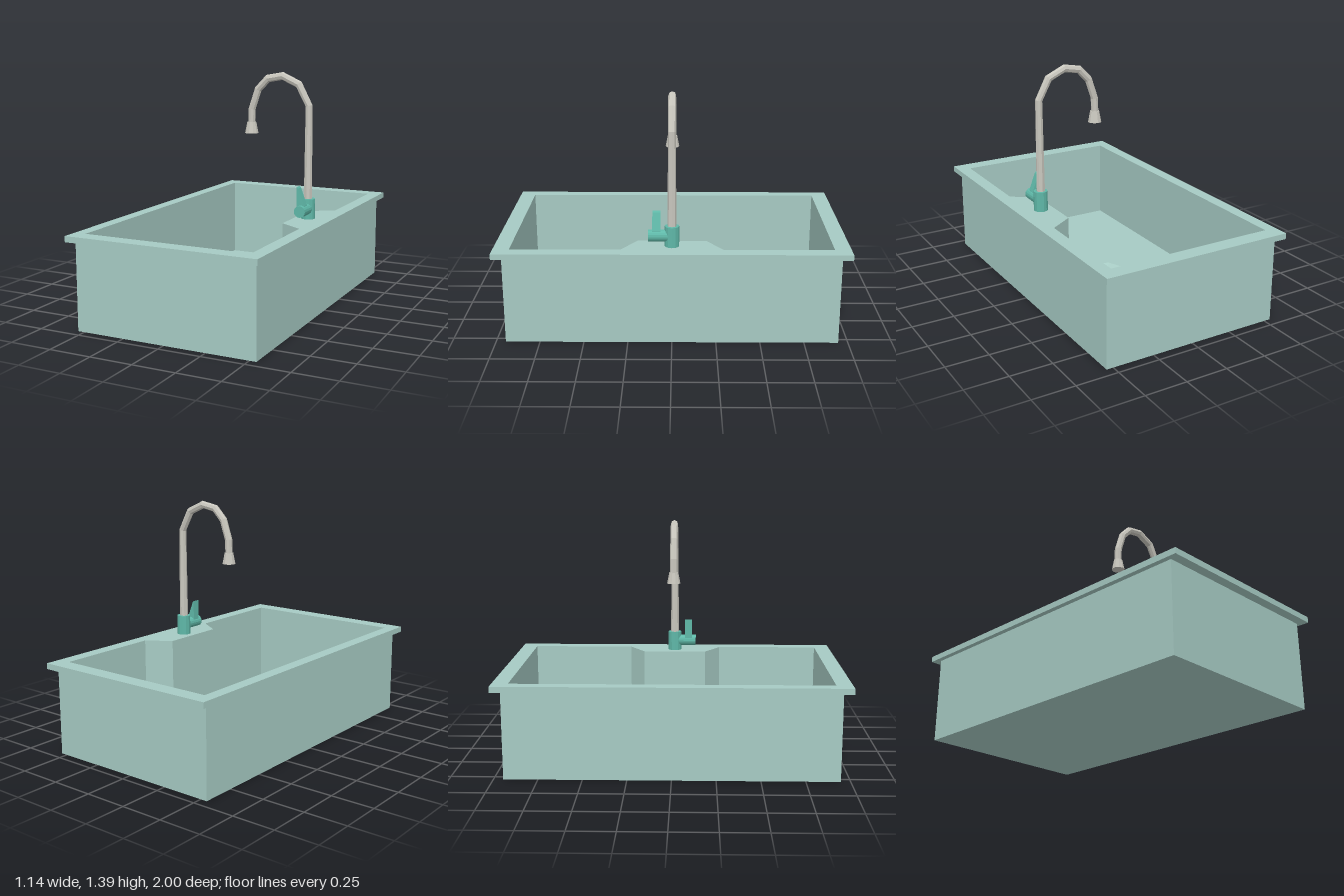
import * as THREE from 'three';

const mat = (name, color, flatShading = true) => {
  const m = new THREE.MeshStandardMaterial({ color, flatShading });
  m.name = name;
  return m;
};

function add(parent, name, geometry, material, x = 0, y = 0, z = 0) {
  const mesh = new THREE.Mesh(geometry, material);
  mesh.name = name;
  mesh.position.set(x, y, z);
  parent.add(mesh);
  return mesh;
}

const vec = (pts) => pts.map(([a, b]) => new THREE.Vector2(a, b));
const rect = (w, d) => vec([[-w, -d], [w, -d], [w, d], [-w, d]]);

// Horizontal slab with a hole, from y0 to y1
function slab(outline, hole, y0, y1) {
  const shape = new THREE.Shape(outline);
  if (hole) shape.holes.push(new THREE.Path(hole));
  const g = new THREE.ExtrudeGeometry(shape, { depth: y1 - y0, bevelEnabled: false });
  return g.rotateX(-Math.PI / 2).translate(0, y0, 0);
}

// Mitred pipe along points [x, y, radius] in the z = 0 plane
function pipe(path, sides) {
  const pos = [], index = [];
  const pts = path.map(([x, y]) => new THREE.Vector2(x, y));
  path.forEach(([x, y, r], i) => {
    const a = pts[Math.max(i - 1, 0)], b = pts[Math.min(i + 1, pts.length - 1)];
    const d1 = (i > 0 ? pts[i].clone().sub(a) : b.clone().sub(pts[i])).normalize();
    const d2 = (i < pts.length - 1 ? b.clone().sub(pts[i]) : d1.clone()).normalize();
    const t = d1.clone().add(d2).normalize();
    const miter = r / t.dot(d1);
    for (let k = 0; k < sides; k++) {
      const ang = (k / sides) * Math.PI * 2;
      const c = Math.cos(ang) * miter;
      pos.push(x + t.y * c, y - t.x * c, Math.sin(ang) * r);
    }
  });
  for (let i = 0; i < path.length - 1; i++) {
    for (let k = 0; k < sides; k++) {
      const a = i * sides + k, b = i * sides + (k + 1) % sides;
      index.push(a, a + sides, b, b, a + sides, b + sides);
    }
  }
  const g = new THREE.BufferGeometry();
  g.setAttribute('position', new THREE.Float32BufferAttribute(pos, 3));
  g.setIndex(index);
  g.computeVertexNormals();
  return g;
}

export function createModel() {
  const ceramic = mat('pale green ceramic', 0xa6cac3);
  const teal = mat('teal fitting', 0x5fb8a8);
  const metal = mat('brushed metal', 0xc9c7be);
  const model = new THREE.Group();
  model.name = 'sink';

  // Basin: bowl outline steps inward around the tap ledge
  const basin = new THREE.Group();
  basin.name = 'basin';
  model.add(basin);
  const bowl = vec([
    [-0.5, -0.907], [0.492, -0.907], [0.492, -0.288], [0.35, -0.195],
    [0.35, 0.195], [0.492, 0.288], [0.492, 0.907], [-0.5, 0.907],
  ]);
  const body = rect(0.54, 0.945);
  add(basin, 'rim', slab(rect(0.57, 1), bowl, 0.51, 0.544), ceramic);
  add(basin, 'walls', slab(body, bowl, 0.05, 0.51), ceramic);

  // Floor with a sunken eight-sided drain
  const ring = [];
  for (let i = 0; i < 8; i++) {
    const a = (i / 8) * Math.PI * 2;
    ring.push([0.127 * Math.cos(a), 0.127 * Math.sin(a)]);
  }
  add(basin, 'floor', slab(body, vec(ring), 0.012, 0.05), ceramic);
  add(basin, 'underside', slab(body, null, 0, 0.012), ceramic);
  add(basin, 'drain', new THREE.LatheGeometry(vec([[0.127, 0.05], [0.063, 0.018], [0, 0.018]]), 8), ceramic);

  // Tap base and side valve
  const tap = new THREE.Group();
  tap.name = 'tap';
  tap.position.x = 0.428;
  model.add(tap);
  add(tap, 'tapBase', new THREE.CylinderGeometry(0.041, 0.041, 0.12, 12), teal, 0, 0.602, 0);
  add(tap, 'valve', new THREE.CylinderGeometry(0.034, 0.034, 0.114, 16).rotateX(Math.PI / 2), teal, 0, 0.605, 0.077);

  // Tapered lever blade
  const blade = new THREE.Shape(vec([[-0.028, 0.605], [0.02, 0.605], [0.019, 0.635], [-0.02, 0.735], [-0.028, 0.744]]));
  add(tap, 'lever', new THREE.ExtrudeGeometry(blade, { depth: 0.046, bevelEnabled: false }), teal, 0, 0, 0.064);

  // Gooseneck spout
  add(model, 'spout', pipe([
    [0.426, 0.62, 0.026], [0.426, 1.2, 0.021], [0.362, 1.32, 0.022], [0.261, 1.366, 0.022],
    [0.167, 1.349, 0.022], [0.105, 1.285, 0.022], [0.066, 1.17, 0.022], [0.063, 1.08, 0.022],
  ], 8), metal);
  add(model, 'nozzle', new THREE.CylinderGeometry(0.027, 0.04, 0.066, 10), metal, 0.064, 1.059, 0);

  return model;
}
